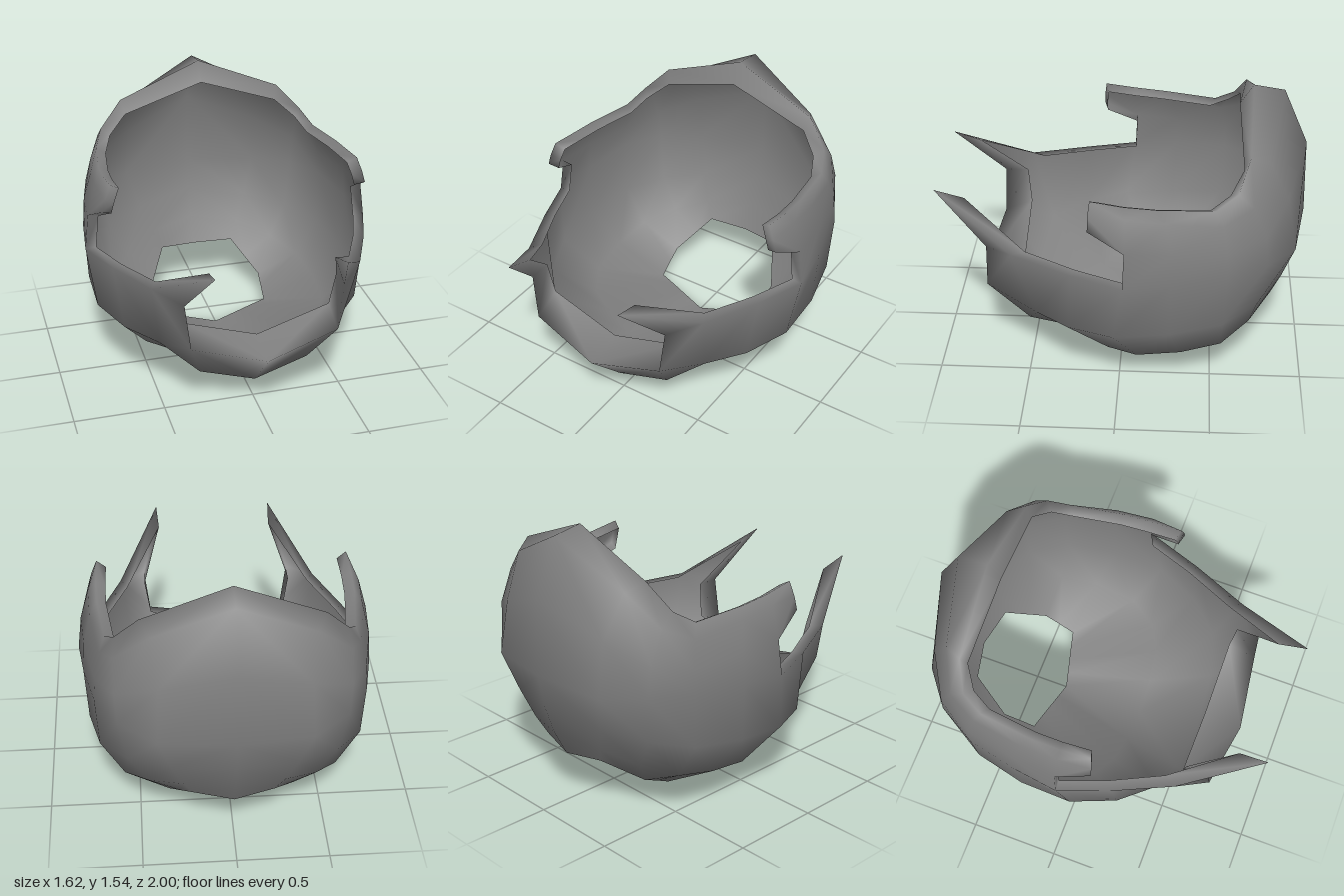
import * as THREE from 'three';
import { mergeVertices } from 'three/addons/utils/BufferGeometryUtils.js';

const vec = (p) => new THREE.Vector3(...p);

// Bowed rows between two rings, pulled towards a control ring
function rowsBetween(from, control, to, ts) {
  return ts.map((t) => to.map((end, c) => new THREE.QuadraticBezierCurve3(from[c], control[c], end).getPoint(t)));
}

// Rows of half rings (x >= 0), each running from back centre to front
function shellRows() {
  const neckHole = [[0, .29, -.83], [.22, .31, -.78], [.28, .235, -.675], [.34, .16, -.57], [.333, .12, -.48],
    [.325, .075, -.39], [.24, .06, -.37], [.16, .045, -.35], [.08, .03, -.33], [0, .015, -.31]].map(vec);
  const lowCurve = new THREE.CatmullRomCurve3(
    [[0, .5, -.96], [.78, .26, -.53], [.72, .14, .45], [0, -.1, .5]].map(vec));
  const lowBulge = neckHole.map((_, i) => lowCurve.getPoint(i / 9));
  // widest ring, which is also the rim at the sides and front
  const widest = [[0, .8, -1], [.4, .78, -.935], [.6, .8, -.78], [.72, .8, -.57], [.78, .78, -.28],
    [.81, .76, -.03], [.71, .775, .25], [.57, .8, .57], [.4, .5, .73], [0, .4, .79]].map(vec);
  const highBulge = [[0, 1.63, -1.04], [.36, 1.36, -.87], [.62, 1.12, -.78],
    [.71, 1.03, -.58], [.77, 1.1, -.3], [.78, 1.145, -.05]].map(vec);
  const backRim = [[0, 1.55, -.69], [.47, 1.36, -.67], [.6, 1.22, -.61],
    [.65, 1.15, -.5], [.69, 1.17, -.2], [.695, 1.185, -.03]].map(vec);
  return [
    ...rowsBetween(neckHole, lowBulge, widest, [0, 1 / 3, 2 / 3, 1]),
    ...rowsBetween(widest, highBulge, backRim, [.3, .72, 1]),
  ];
}

function buildShell() {
  const points = [], faces = [], flange = new Map();
  const add = (p) => points.push(p) - 1;
  const id = shellRows().map((row) => row.map(add));
  for (let r = 0; r + 1 < id.length; r++) {
    for (let c = 0; c + 1 < id[r + 1].length; c++) {
      const [a, b, d, e] = [id[r][c], id[r + 1][c], id[r + 1][c + 1], id[r][c + 1]];
      // the cheek beside the front opening folds along the other diagonal
      if (r === 2 && c === 7) faces.push([a, b, d], [a, d, e]);
      else faces.push([a, b, e], [b, d, e]);
    }
  }

  // Side hook reaching forward
  const hookLow = add(vec([.74, 1.06, .15]));
  const hookMid = add(vec([.72, 1.13, .15]));
  const hookTop = add(vec([.69, 1.21, .14]));
  const [low, mid, top] = [id[4][5], id[5][5], id[6][5]];
  faces.push([low, mid, hookMid], [low, hookMid, hookLow], [mid, top, hookTop], [mid, hookTop, hookMid]);

  // Front horn rising from a post beside the opening
  const post = add(vec([.43, .76, .72]));
  const tip = add(vec([.34, 1.05, 1]));
  faces.push([id[3][7], post, id[3][8]], [id[3][7], tip, post]);

  // Inner edge of the flange where it is wide: front lip, horn and back peak
  flange.set(id[3][7], vec([.53, .8, .5])).set(id[3][8], vec([.4, .57, .57])).set(id[3][9], vec([0, .44, .57]));
  flange.set(post, vec([.43, .76, .59])).set(tip, vec([.33, 1, .84]));
  flange.set(id[6][0], vec([0, 1.44, -.62])).set(id[6][1], vec([.45, 1.28, -.64]));
  const centre = vec([0, .8, -.1]);
  const inside = (i) => flange.get(i) || points[i].clone().lerp(centre, .075);

  // Flange turned inwards along every open edge except the neck hole
  const tris = [], edges = new Map();
  for (const [a, b, c] of faces) {
    tris.push([points[a], points[b], points[c]]);
    for (const [from, to] of [[a, b], [b, c], [c, a]]) edges.set(from + '_' + to, [from, to]);
  }
  const neck = new Set(id[0]);
  const centred = (i) => Math.abs(points[i].x) < 1e-6;
  for (const [a, b] of edges.values()) {
    const onCentre = centred(a) && centred(b);
    if (edges.has(b + '_' + a) || onCentre || (neck.has(a) && neck.has(b))) continue;
    tris.push([points[b], points[a], inside(a)], [points[b], inside(a), inside(b)]);
  }

  // Mirror to the other side and weld along the centre
  const mirrored = tris.map((tri) => tri.map((p) => new THREE.Vector3(-p.x, p.y, p.z)).reverse());
  const geo = new THREE.BufferGeometry().setFromPoints([...tris, ...mirrored].flat());
  const welded = mergeVertices(geo, 1e-4);
  welded.computeVertexNormals();
  return welded;
}

export function createModel() {
  const group = new THREE.Group();
  group.name = 'openHelmet';
  const grey = new THREE.MeshStandardMaterial({ color: 0x808080, side: THREE.DoubleSide });
  grey.name = 'plain grey';
  const shell = new THREE.Mesh(buildShell(), grey);
  shell.name = 'helmetShell';
  group.add(shell);
  return group;
}
